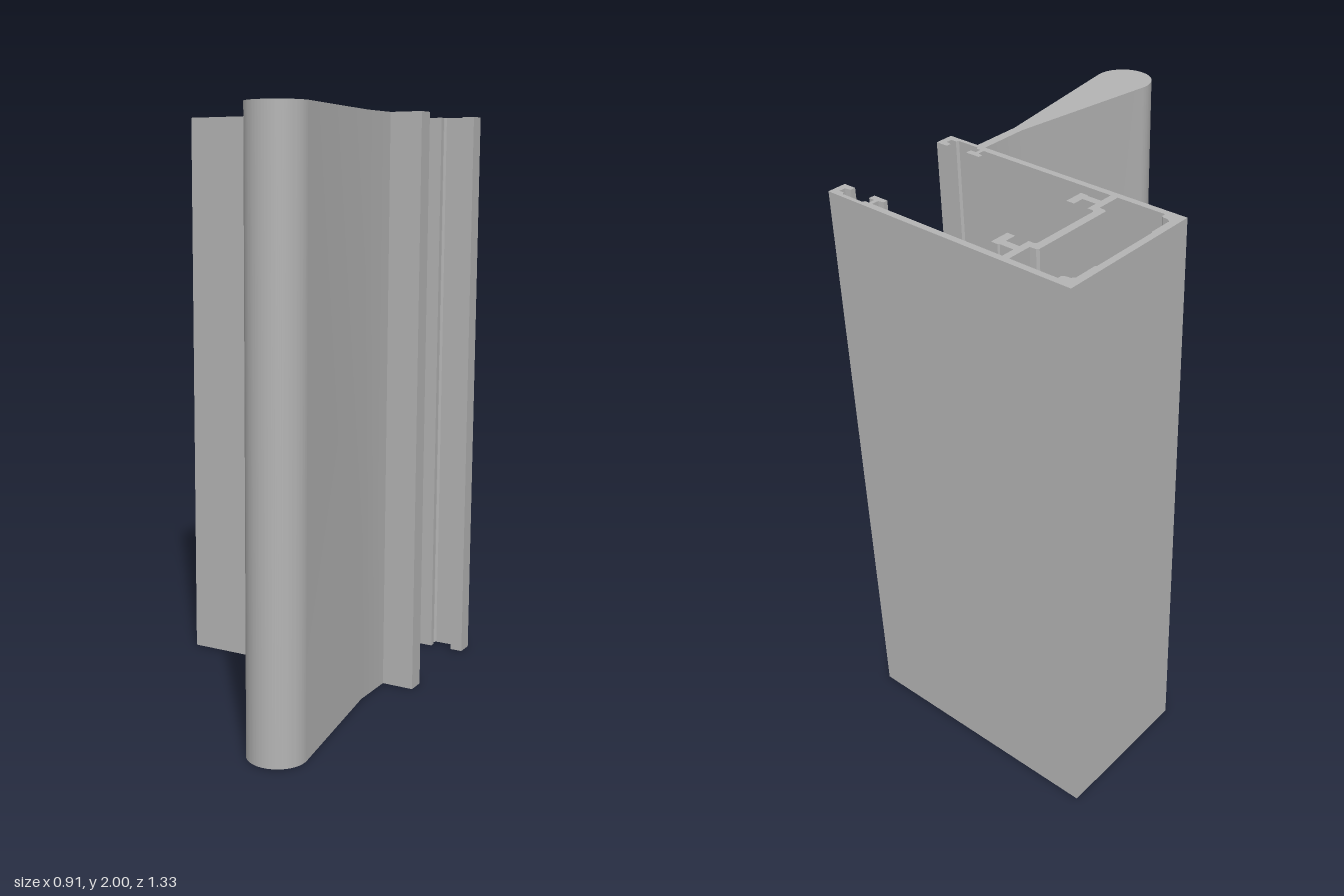
import * as THREE from 'three';
import { toCreasedNormals } from 'three/addons/utils/BufferGeometryUtils.js';

const HEIGHT = 2;
const MID_Z = -0.409; // symmetry plane of the hollow channel

// Half cross-section as [x, distance from the symmetry plane], mirrored to a closed shape.
function mirroredShape(half) {
  const other = half.map(([x, d]) => [x, -d]).reverse();
  return new THREE.Shape([...half, ...other].map(([x, d]) => new THREE.Vector2(x, d - MID_Z)));
}

// Extrude a plan-view shape (shape y = -z) upwards from the ground.
function extrudeUp(name, shape, material) {
  const raw = new THREE.ExtrudeGeometry(shape, { depth: HEIGHT, bevelEnabled: false, curveSegments: 32 });
  raw.rotateX(-Math.PI / 2);
  const mesh = new THREE.Mesh(toCreasedNormals(raw, 0.4), material);
  mesh.name = name;
  return mesh;
}

export function createModel() {
  const aluminium = new THREE.MeshStandardMaterial({ color: 0xb4b4b4 });
  aluminium.name = 'aluminium grey';
  const group = new THREE.Group();
  group.name = 'extrudedProfile';

  // C-shaped channel with thickened corners and clip lips along its open side
  const channel = mirroredShape([
    [-0.434, 0.12], [-0.43, 0.126], [-0.43, 0.203], [-0.421, 0.214], [-0.401, 0.216],
    [-0.395, 0.222], [-0.395, 0.235],
    [0.297, 0.235], [0.297, 0.212], [0.279, 0.208], [0.279, 0.193], [0.332, 0.193],
    [0.332, 0.214], [0.311, 0.214], [0.311, 0.235],
    [0.325, 0.235], [0.331, 0.243], [0.409, 0.243], [0.415, 0.235],
    [0.434, 0.235], [0.434, 0.214], [0.413, 0.21], [0.413, 0.193],
    [0.457, 0.193], [0.457, 0.257], [-0.457, 0.257],
  ]);
  group.add(extrudeUp('channel', channel, aluminium));

  // Stepped inner web carrying two hooks
  const web = mirroredShape([
    [-0.254, 0.143], [-0.247, 0.15], [-0.226, 0.152], [-0.226, 0.235],
    [-0.201, 0.235], [-0.201, 0.19], [-0.152, 0.19], [-0.147, 0.194], [-0.123, 0.194],
    [-0.123, 0.127], [-0.152, 0.127], [-0.152, 0.165], [-0.201, 0.165],
    [-0.201, 0.127], [-0.222, 0.127], [-0.227, 0.121],
  ]);
  group.add(extrudeUp('innerWeb', web, aluminium));

  // Teardrop fin on a narrow neck
  const cx = 0.327, r = 0.098, neck = 0.016, tilt = 0.147;
  const fin = new THREE.Shape();
  fin.moveTo(cx - neck, 0.152);
  fin.lineTo(cx + neck, 0.152);
  fin.lineTo(cx + neck, -0.02);
  fin.absarc(cx, -0.568, r, tilt, Math.PI - tilt, true);
  fin.lineTo(cx - neck, -0.02);
  fin.closePath();
  group.add(extrudeUp('teardropFin', fin, aluminium));

  return group;
}
